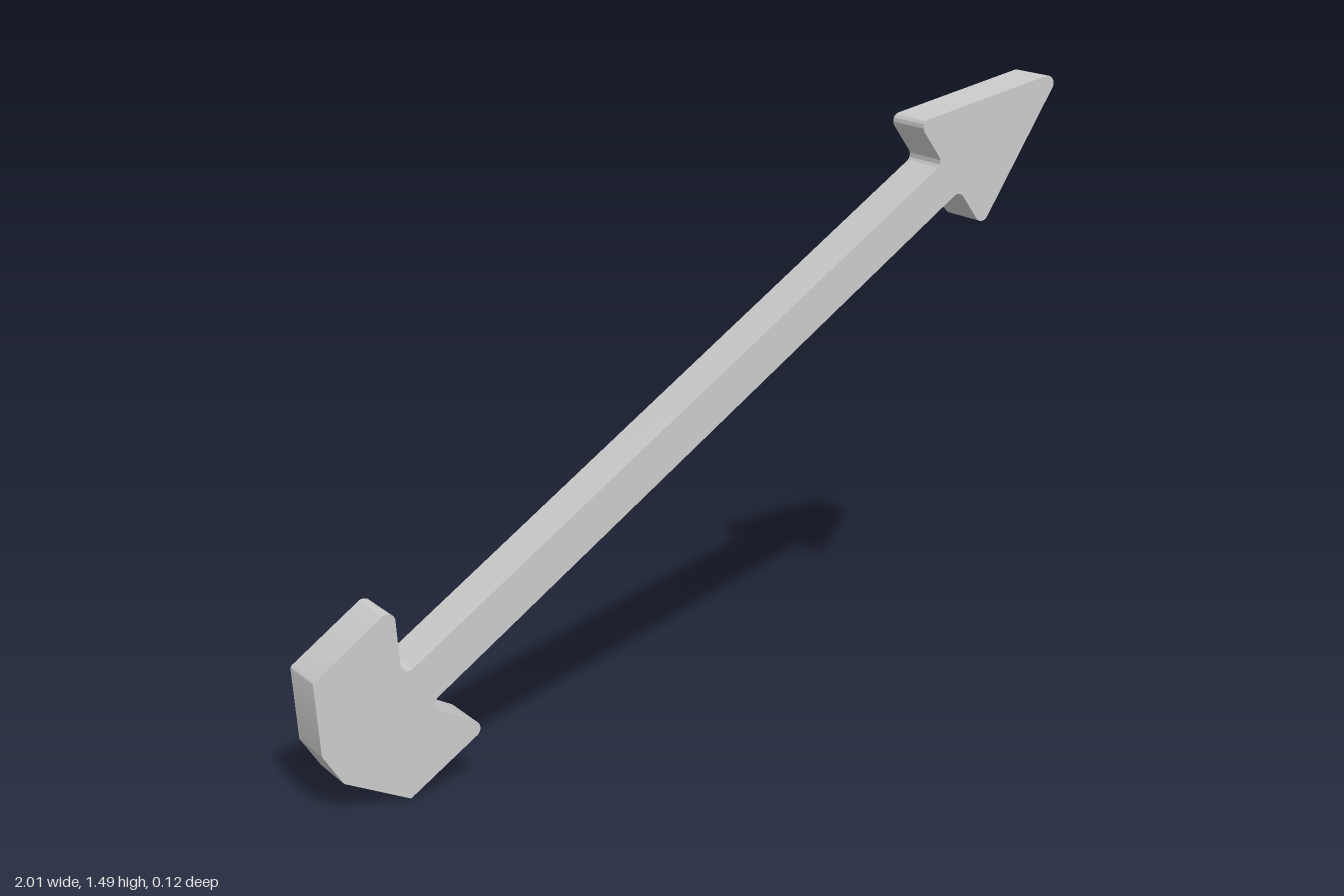
import * as THREE from 'three';
import { toCreasedNormals } from 'three/addons/utils/BufferGeometryUtils.js';

const DEPTH = 0.122;

// Closed polygon whose corners [x, y, radius] are rounded by true arcs
function roundedShape(corners) {
  const shape = new THREE.Shape();
  const n = corners.length;
  corners.forEach(([x, y, r], i) => {
    const p = new THREE.Vector2(x, y);
    if (!r) {
      if (i) shape.lineTo(x, y);
      else shape.moveTo(x, y);
      return;
    }
    const prev = corners[(i + n - 1) % n], next = corners[(i + 1) % n];
    const a = new THREE.Vector2(prev[0], prev[1]).sub(p).normalize();
    const b = new THREE.Vector2(next[0], next[1]).sub(p).normalize();
    const half = Math.acos(a.dot(b)) / 2;
    const start = p.clone().addScaledVector(a, r / Math.tan(half));
    const end = p.clone().addScaledVector(b, r / Math.tan(half));
    const c = p.clone().addScaledVector(a.clone().add(b).normalize(), r / Math.sin(half));
    const clockwise = a.cross(b) > 0;
    shape.lineTo(start.x, start.y);
    shape.absarc(c.x, c.y, r,
      Math.atan2(start.y - c.y, start.x - c.x),
      Math.atan2(end.y - c.y, end.x - c.x), clockwise);
  });
  shape.closePath();
  return shape;
}

export function createModel() {
  const group = new THREE.Group();
  group.name = 'arrow';
  const R = 0.02;

  // Arrow outline, counter-clockwise from the lowest point of the tail
  const outline = roundedShape([
    [-0.775, 0.0, 0],
    [-0.578, 0.134, R],    // lower tail barb
    [-0.727, 0.21, R],     // tail meets underside of shaft
    [0.727, 1.23, R],      // underside of shaft meets head
    [0.797, 1.133, R],     // lower head barb
    [1.028, 1.497, R],     // tip
    [0.6, 1.405, R],       // upper head barb
    [0.674, 1.302, R],     // head meets top of shaft
    [-0.788, 0.289, R],    // top of shaft meets tail
    [-0.802, 0.464, R],    // upper tail barb
    [-1.0, 0.322, 0.01],
    [-0.986, 0.148, 0],    // blunt rear end
    [-0.936, 0.073, 0],
  ]);

  const solid = new THREE.ExtrudeGeometry(outline, {
    depth: DEPTH, bevelEnabled: false, curveSegments: 10,
  });
  solid.translate(0, 0, -DEPTH / 2);

  const arrow = new THREE.Mesh(
    toCreasedNormals(solid, 0.4),
    new THREE.MeshStandardMaterial({ color: 0xcccccc }),
  );
  arrow.name = 'arrowBody';
  group.add(arrow);
  return group;
}
